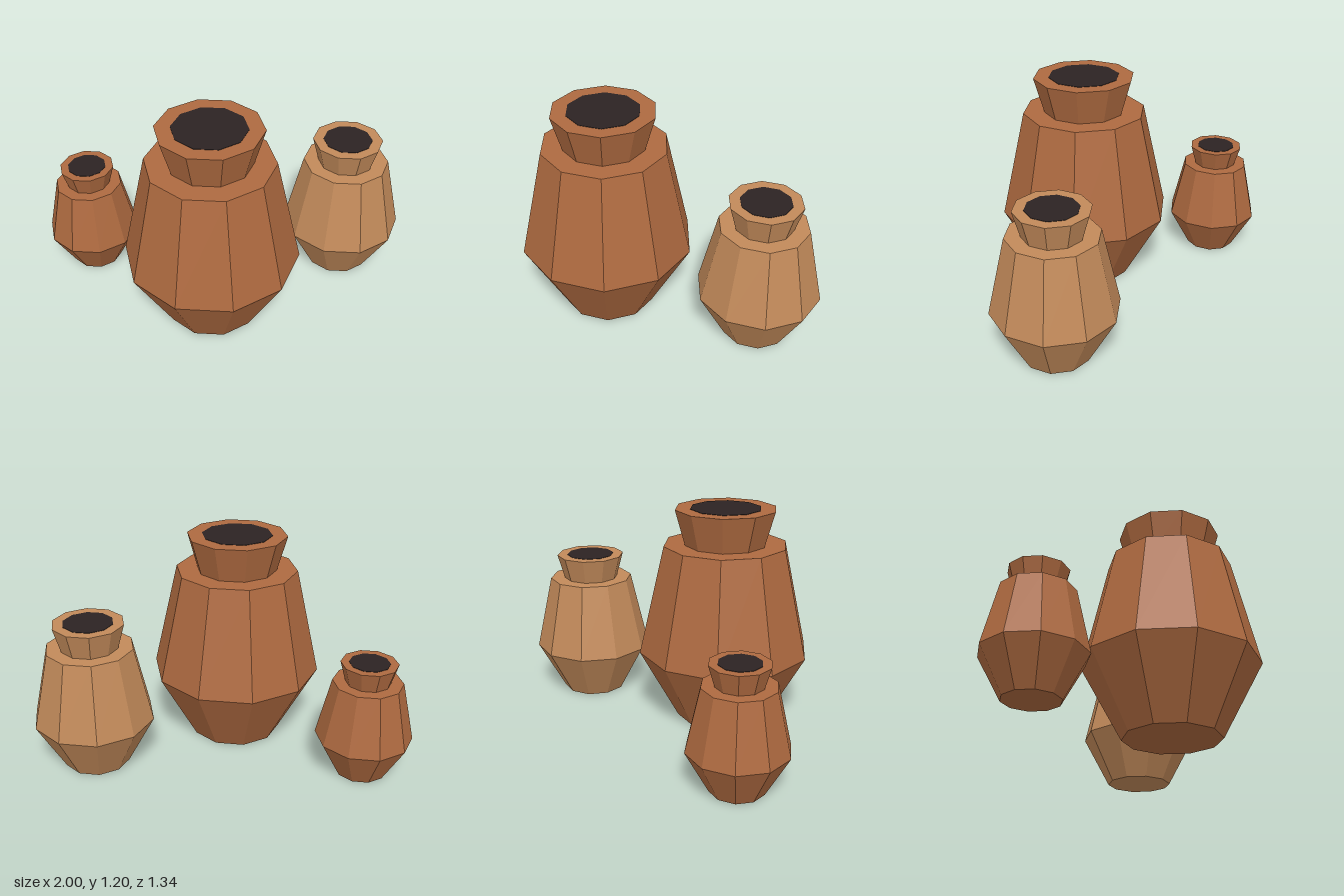
import * as THREE from 'three';

const SIDES = 10;

function material(name, color) {
  const m = new THREE.MeshStandardMaterial({ color, flatShading: true });
  m.name = name;
  return m;
}

export function createModel() {
  const terracotta = material('terracotta', 0xae6a40);
  const tan = material('tanClay', 0xc28a5a);
  const dark = material('darkInside', 0x2c2323);

  // One frustum standing on height y0
  function frustum(name, rBottom, rTop, y0, y1, mat) {
    const geo = new THREE.CylinderGeometry(rTop, rBottom, y1 - y0, SIDES);
    const mesh = new THREE.Mesh(geo, mat);
    mesh.name = name;
    mesh.position.y = (y0 + y1) / 2;
    return mesh;
  }

  // Pot: r = [base, belly, shoulder, neck, rim, mouth], h = [belly, shoulder, rim]
  function pot(name, x, z, r, h, clay) {
    const g = new THREE.Group();
    g.name = name;
    g.position.set(x, 0, z);
    g.add(frustum('lowerBody', r[0], r[1], 0, h[0], clay));
    g.add(frustum('upperBody', r[1], r[2], h[0], h[1], clay));
    g.add(frustum('neck', r[3], r[4], h[1], h[2], clay));
    // Thin dark plate for the mouth opening
    g.add(frustum('mouth', r[5], r[5], h[2] - 0.002, h[2] + 0.002, dark));
    return g;
  }

  const model = new THREE.Group();
  model.name = 'clayPots';
  model.add(
    pot('largePot', -0.157, 0.187, [0.26, 0.477, 0.34, 0.223, 0.278, 0.195], [0.4, 1.0, 1.195], terracotta),
    pot('mediumPot', 0.682, -0.052, [0.183, 0.334, 0.238, 0.156, 0.194, 0.136], [0.28, 0.698, 0.836], tan),
    pot('smallPot', -0.75, -0.41, [0.142, 0.262, 0.187, 0.12, 0.152, 0.108], [0.22, 0.547, 0.657], terracotta),
  );
  return model;
}
